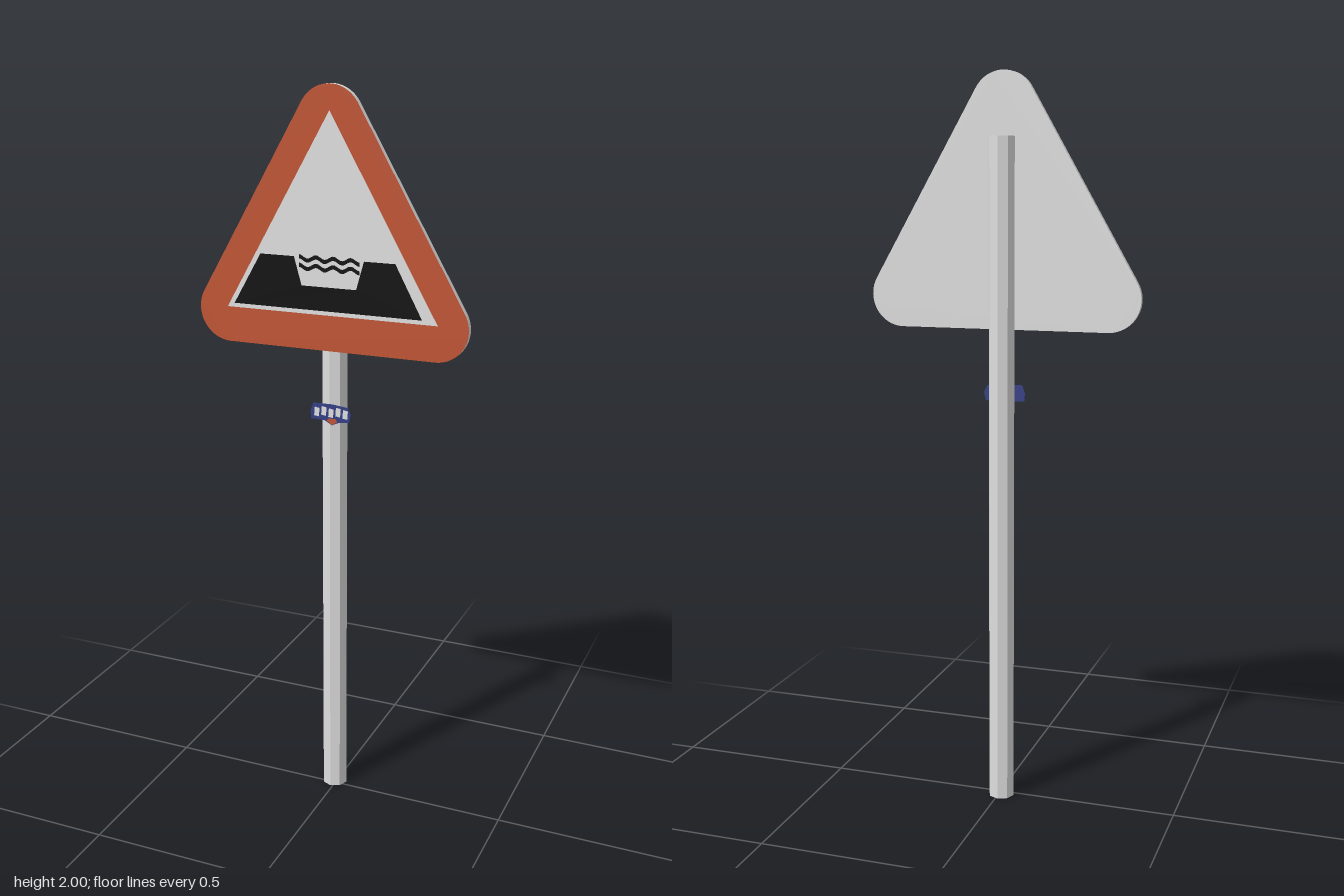
import * as THREE from 'three';
import { toCreasedNormals } from 'three/addons/utils/BufferGeometryUtils.js';

const material = (name, color) => {
  const m = new THREE.MeshStandardMaterial({ color });
  m.name = name;
  return m;
};

const polygon = (points) => new THREE.Shape(points.map(([x, y]) => new THREE.Vector2(x, y)));

// Rounded triangle made of three corner arcs
function roundedTriangle(halfBase, bottom, top, radius) {
  const s = new THREE.Shape();
  const corners = [[halfBase, bottom], [0, top], [-halfBase, bottom]];
  corners.forEach(([x, y], i) => {
    const start = -Math.PI / 2 + i * Math.PI * 2 / 3;
    s.absarc(x, y, radius, start, start + Math.PI * 2 / 3, false);
  });
  s.closePath();
  return s;
}

// Wavy ribbon of constant height
function waveShape(x0, x1, y, thickness) {
  const upper = [], lower = [], steps = 32;
  for (let i = 0; i <= steps; i++) {
    const t = i / steps;
    const x = x0 + (x1 - x0) * t;
    const h = y + 0.005 * Math.cos(t * Math.PI * 7);
    lower.push([x, h - thickness / 2]);
    upper.unshift([x, h + thickness / 2]);
  }
  return polygon([...lower, ...upper]);
}

export function createModel() {
  const group = new THREE.Group();
  const grey = material('galvanised grey', 0xdedede);
  const white = material('sign white', 0xe0e0e0);
  const red = material('border red', 0xc05433);
  const black = material('symbol black', 0x0c0c0c);
  const navy = material('sticker navy', 0x343f85);

  const add = (name, geometry, mat, z = 0, parent = group) => {
    const mesh = new THREE.Mesh(geometry, mat);
    mesh.name = name;
    mesh.position.z = z;
    parent.add(mesh);
    return mesh;
  };
  const face = (name, shape, mat, z, parent) =>
    add(name, new THREE.ShapeGeometry(shape, 10), mat, z, parent);

  // Eight-sided post
  const post = add('post', new THREE.CylinderGeometry(0.036, 0.036, 1.83, 8).toNonIndexed(), grey, -0.015);
  post.geometry.computeVertexNormals();
  post.position.set(-0.007, 0.915, -0.015);

  // Sign plate with smooth rounded rim
  const sign = new THREE.Group();
  sign.name = 'sign';
  group.add(sign);
  const outline = roundedTriangle(0.29, 1.41, 1.912, 0.088);
  const plate = new THREE.ExtrudeGeometry(outline, { depth: 0.0155, bevelEnabled: false, curveSegments: 10 });
  add('signPlate', toCreasedNormals(plate, 0.6), grey, 0.02, sign);

  // Painted front: red border, white field, black quay
  face('redBorder', outline, red, 0.0363, sign);
  face('whiteField', polygon([[-0.296, 1.417], [0.296, 1.417], [0, 1.936]]), white, 0.0371, sign);
  face('quaySymbol', polygon([
    [-0.275, 1.428], [0.254, 1.428], [0.18, 1.566], [0.095, 1.566],
    [0.074, 1.491], [-0.079, 1.491], [-0.1, 1.566], [-0.196, 1.566],
  ]), black, 0.0379, sign);

  // Two water ripples
  for (const y of [1.562, 1.54]) {
    face('waterRipple', waveShape(-0.086, 0.083, y, 0.011), black, 0.0379, sign);
  }

  // Small sticker on the post, with plain pale and red patches
  const sticker = new THREE.Group();
  sticker.name = 'sticker';
  group.add(sticker);
  const badge = polygon([
    [-0.06, 1.128], [-0.02, 1.127], [0, 1.115], [0.02, 1.124], [0.05, 1.128],
    [0.055, 1.15], [0.046, 1.168], [0, 1.173], [-0.054, 1.172], [-0.062, 1.15],
  ]);
  add('stickerBase', new THREE.ExtrudeGeometry(badge, { depth: 0.003, bevelEnabled: false }), navy, 0.021, sticker);
  for (let i = 0; i < 5; i++) {
    const x = -0.051 + i * 0.0205;
    const y = 1.138 + (i % 2) * 0.004;
    face('palePatch', polygon([
      [x, y], [x + 0.014, y - 0.002], [x + 0.016, y + 0.022], [x + 0.002, y + 0.024],
    ]), white, 0.0248, sticker);
  }
  face('redPatch', polygon([[-0.014, 1.127], [0, 1.116], [0.016, 1.126], [0.012, 1.134], [-0.01, 1.134]]), red, 0.0248, sticker);

  return group;
}
